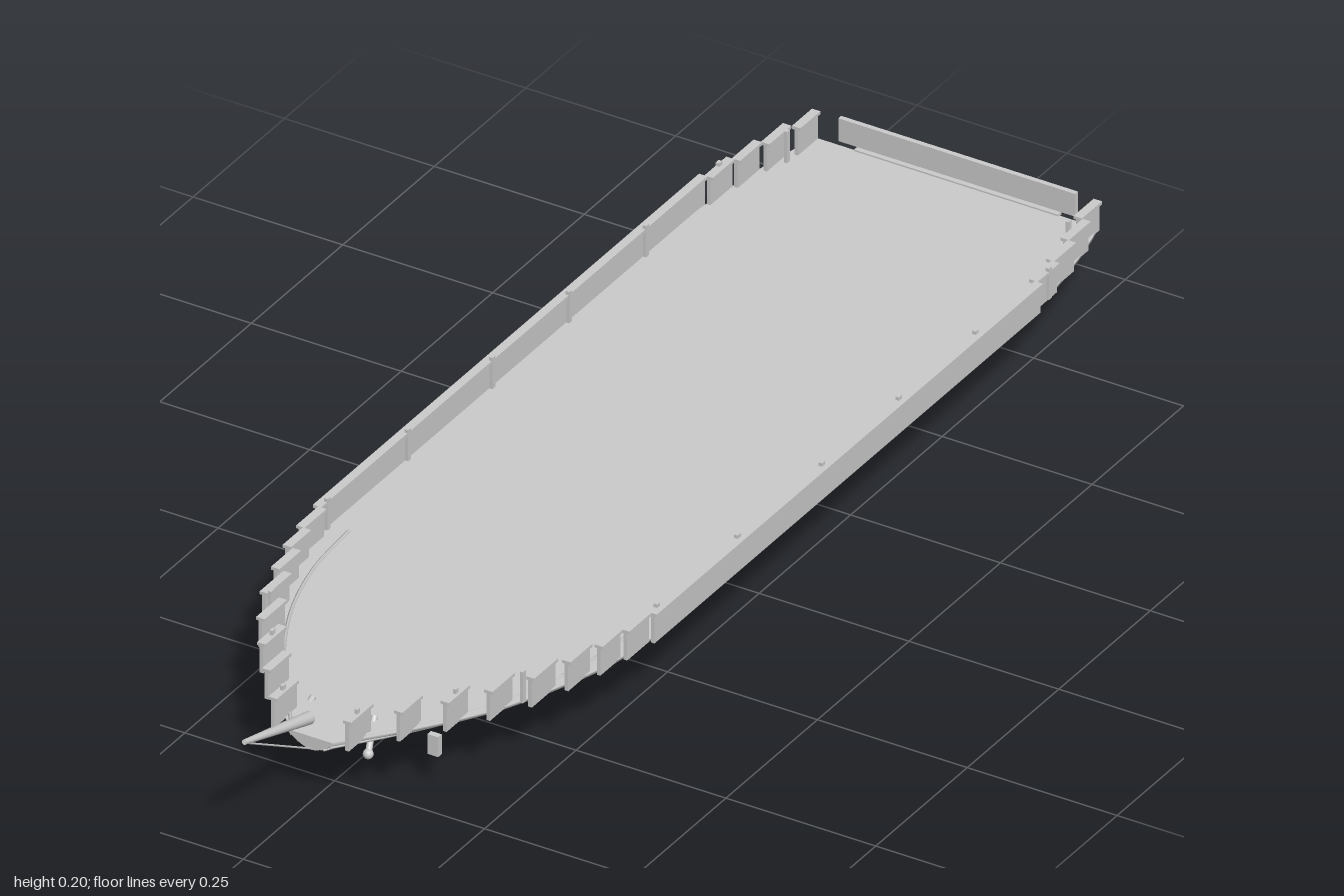
import * as THREE from 'three';

const DECK = 0.108;
// hull stations: z, half breadth, keel height
const STATIONS = [
  [-0.95, 0.235, 0.072], [-0.92, 0.243, 0.069], [-0.87, 0.254, 0.066], [-0.81, 0.264, 0.063],
  [-0.75, 0.272, 0.06], [-0.68, 0.278, 0.057], [-0.45, 0.28, 0.053], [-0.2, 0.28, 0.051],
  [0, 0.28, 0.052], [0.2, 0.28, 0.056], [0.31, 0.277, 0.059], [0.37, 0.27, 0.061],
  [0.43, 0.26, 0.063], [0.48, 0.244, 0.065], [0.545, 0.22, 0.069], [0.615, 0.188, 0.073],
  [0.67, 0.153, 0.076], [0.73, 0.108, 0.08], [0.78, 0.066, 0.083], [0.815, 0.036, 0.086],
];

export function createModel() {
  const ship = new THREE.Group();
  ship.name = 'shipHull';
  const grey = new THREE.MeshStandardMaterial({ color: 0xcccccc });

  const add = (name, geometry, x = 0, y = 0, z = 0) => {
    const mesh = new THREE.Mesh(geometry, grey);
    mesh.name = name;
    mesh.position.set(x, y, z);
    ship.add(mesh);
    return mesh;
  };
  const box = (name, w, h, d, x, y, z) => add(name, new THREE.BoxGeometry(w, h, d), x, y, z);

  // tapered round bar between two points
  const bar = (name, from, to, r0, r1, sides = 10) => {
    const a = new THREE.Vector3(...from), b = new THREE.Vector3(...to);
    const dir = b.clone().sub(a);
    const mesh = add(name, new THREE.CylinderGeometry(r1, r0, dir.length(), sides));
    mesh.position.copy(a).add(b).multiplyScalar(0.5);
    mesh.quaternion.setFromUnitVectors(new THREE.Vector3(0, 1, 0), dir.normalize());
  };

  // surface through rows of points
  const loft = (name, rows) => {
    const n = rows[0].length, index = [];
    for (let i = 0; i < rows.length - 1; i++) {
      for (let j = 0; j < n - 1; j++) {
        const a = i * n + j, c = a + n;
        index.push(a, a + 1, c, a + 1, c + 1, c);
      }
    }
    const g = new THREE.BufferGeometry();
    g.setAttribute('position', new THREE.Float32BufferAttribute(rows.flat(2), 3));
    g.setIndex(index);
    g.computeVertexNormals();
    add(name, g);
  };

  // hull cross-section: shallow curved bottom
  const bottomY = (yb, f) => yb + (0.104 - yb) * Math.abs(f) ** 1.7;
  const section = ([z, w, yb]) => {
    const pts = [[-w, DECK, z]];
    for (let j = -10; j <= 10; j++) pts.push([w * j / 10, bottomY(yb, j / 10), z]);
    pts.push([w, DECK, z]);
    return pts;
  };
  const flat = (row) => row.map(([x, , z]) => [x, DECK, z]);
  const rows = STATIONS.map(section);
  const stern = rows[0], bow = rows[rows.length - 1];
  loft('hullShell', rows);
  loft('deck', STATIONS.map(([z, w]) => [[w, DECK, z], [-w, DECK, z]]));
  loft('bowFace', [bow, flat(bow)]);
  loft('sternFace', [flat(stern), stern]);

  const tube = (name, pts, r) => add(name, new THREE.TubeGeometry(
    new THREE.CatmullRomCurve3(pts.map((p) => new THREE.Vector3(...p))), 60, r, 5));

  // stepped bulwark panels: x, start z, end z
  const panels = [
    [0.235, -0.95, -0.895], [0.25, -0.895, -0.835], [0.262, -0.835, -0.775], [0.271, -0.775, -0.715],
    [0.28, -0.715, 0.34], [0.271, 0.34, 0.4], [0.26, 0.4, 0.455], [0.243, 0.455, 0.515],
    [0.222, 0.515, 0.58], [0.19, 0.58, 0.642], [0.153, 0.642, 0.7], [0.11, 0.7, 0.757], [0.062, 0.757, 0.818],
  ];
  const postZ = [-0.75, -0.55, -0.34, -0.13, 0.1, 0.32];

  for (const s of [-1, 1]) {
    for (const [x, z0, z1] of panels) {
      const len = z1 - z0, mid = (z0 + z1) / 2;
      box('bulwarkPanel', 0.006, 0.046, len, s * x, 0.128, mid);
      box('capRail', 0.014, 0.005, len, s * x, 0.152, mid);
    }
    // timber heads above the rail
    for (const z of postZ) box('railPost', 0.006, 0.052, 0.008, s * 0.275, 0.134, z);
    for (const [x, z] of [[0.235, -0.87], [0.21, 0.58], [0.153, 0.67], [0.062, 0.79]]) {
      box('railPost', 0.005, 0.052, 0.008, s * x, 0.136, z);
    }
    // wales along the hull
    for (const f of [0.55, 0.88]) {
      tube('wale', STATIONS.map(([z, w, yb]) => [s * w * f, bottomY(yb, f) - 0.001, z]), 0.0025);
    }
    // curved waterway strip on the foredeck
    tube('foredeckStrip', [[0.245, 0.31], [0.235, 0.42], [0.205, 0.53], [0.155, 0.635], [0.1, 0.72], [0.038, 0.805]]
      .map(([x, z]) => [s * x, DECK, z]), 0.003);
    // hawse pipe with rounded mouth, and anchor block
    bar('hawsePipe', [s * 0.051, 0.112, 0.725], [s * 0.062, 0.07, 0.76], 0.005, 0.005);
    add('hawseMouth', new THREE.SphereGeometry(0.008, 12, 8), s * 0.062, 0.07, 0.76);
    box('anchorBlock', 0.018, 0.033, 0.01, s * 0.13, 0.0715, 0.69);
  }

  // stern rail and rudder
  box('sternPanel', 0.395, 0.038, 0.008, 0, 0.134, -0.953);
  box('sternSill', 0.34, 0.005, 0.01, 0, 0.108, -0.952);
  box('rudder', 0.008, 0.108, 0.05, 0, 0.054, -0.975);

  // bowsprit and its stay
  bar('bowsprit', [0, 0.142, 0.82], [0, 0.194, 0.997], 0.01, 0.004, 12);
  bar('bobstay', [0, 0.193, 0.997], [0, 0.065, 0.775], 0.0015, 0.0015, 6);

  return ship;
}
